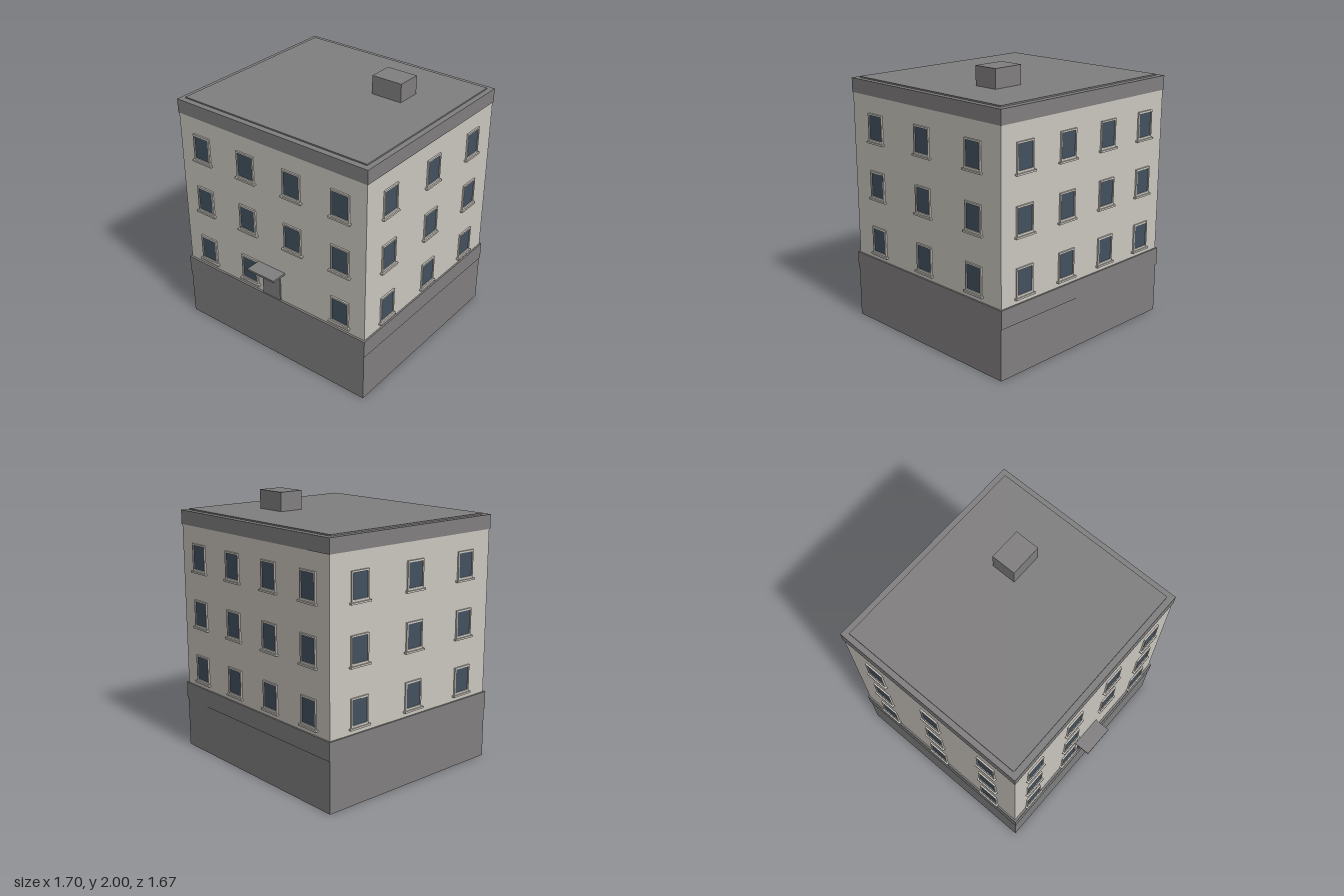
import * as THREE from 'three';

const mat = (name, color) => {
  const m = new THREE.MeshStandardMaterial({ color });
  m.name = name;
  return m;
};

export function createModel() {
  const stone = mat('grey stone', 0x807e7e);
  const plaster = mat('cream plaster', 0xc9c5be);
  const glass = mat('blue glass', 0x42515f);
  const model = new THREE.Group();
  model.name = 'building';

  // Box given by its limits on each axis
  const box = (name, material, [x0, x1], [y0, y1], [z0, z1], parent = model) => {
    const g = new THREE.BoxGeometry(x1 - x0, y1 - y0, z1 - z0);
    g.translate((x0 + x1) / 2, (y0 + y1) / 2, (z0 + z1) / 2);
    const mesh = new THREE.Mesh(g, material);
    mesh.name = name;
    parent.add(mesh);
  };

  const X = 0.83, FRONT = 0.712, BACK = -0.812;

  // Main masses, bottom to top
  box('foundation', stone, [-0.837, 0.837], [0, 0.377], [-0.818, 0.724]);
  box('plinth', stone, [-0.842, 0.842], [0.377, 0.512], [-0.824, 0.728]);
  box('walls', plaster, [-X, X], [0.512, 1.745], [BACK, FRONT]);
  box('cornice', stone, [-0.835, 0.835], [1.745, 1.85], [-0.817, 0.717]);
  box('roofSlab', stone, [-0.795, 0.795], [1.85, 1.86], [-0.773, 0.673]);
  box('chimney', stone, [0.205, 0.452], [1.86, 2], [-0.373, -0.182]);

  // Entrance
  box('door', stone, [-0.084, 0.08], [0.512, 0.732], [FRONT, 0.722]);
  box('canopy', stone, [-0.126, 0.122], [0.748, 0.764], [FRONT, 0.835]);

  // Window frame with an opening, shared by every window
  const rect = (P, w, y0, y1) => new P([
    new THREE.Vector2(-w, y0), new THREE.Vector2(w, y0),
    new THREE.Vector2(w, y1), new THREE.Vector2(-w, y1),
  ]);
  const frameShape = rect(THREE.Shape, 0.077, -0.104, 0.102);
  frameShape.holes.push(rect(THREE.Path, 0.066, -0.088, 0.089));
  const frameGeo = new THREE.ExtrudeGeometry(frameShape, { depth: 0.012, bevelEnabled: false });

  const addWindow = (x, y, z, turn) => {
    const w = new THREE.Group();
    w.name = 'window';
    const frame = new THREE.Mesh(frameGeo, plaster);
    frame.name = 'windowFrame';
    w.add(frame);
    box('windowPane', glass, [-0.066, 0.066], [-0.088, 0.089], [0, 0.006], w);
    box('windowSill', plaster, [-0.09, 0.09], [-0.117, -0.104], [0, 0.022], w);
    w.position.set(x, y, z);
    w.rotation.y = turn;
    model.add(w);
  };

  // Three storeys of windows on all four sides
  for (const y of [0.663, 1.09, 1.516]) {
    for (const x of [-0.622, -0.209, 0.205, 0.618]) {
      const aboveDoor = y < 1 && x > 0 && x < 0.4;
      if (!aboveDoor) addWindow(x, y, FRONT, 0);
      addWindow(x, y, BACK, Math.PI);
    }
    for (const z of [-0.555, -0.048, 0.457]) {
      addWindow(X, y, z, Math.PI / 2);
      addWindow(-X, y, z, -Math.PI / 2);
    }
  }
  return model;
}
